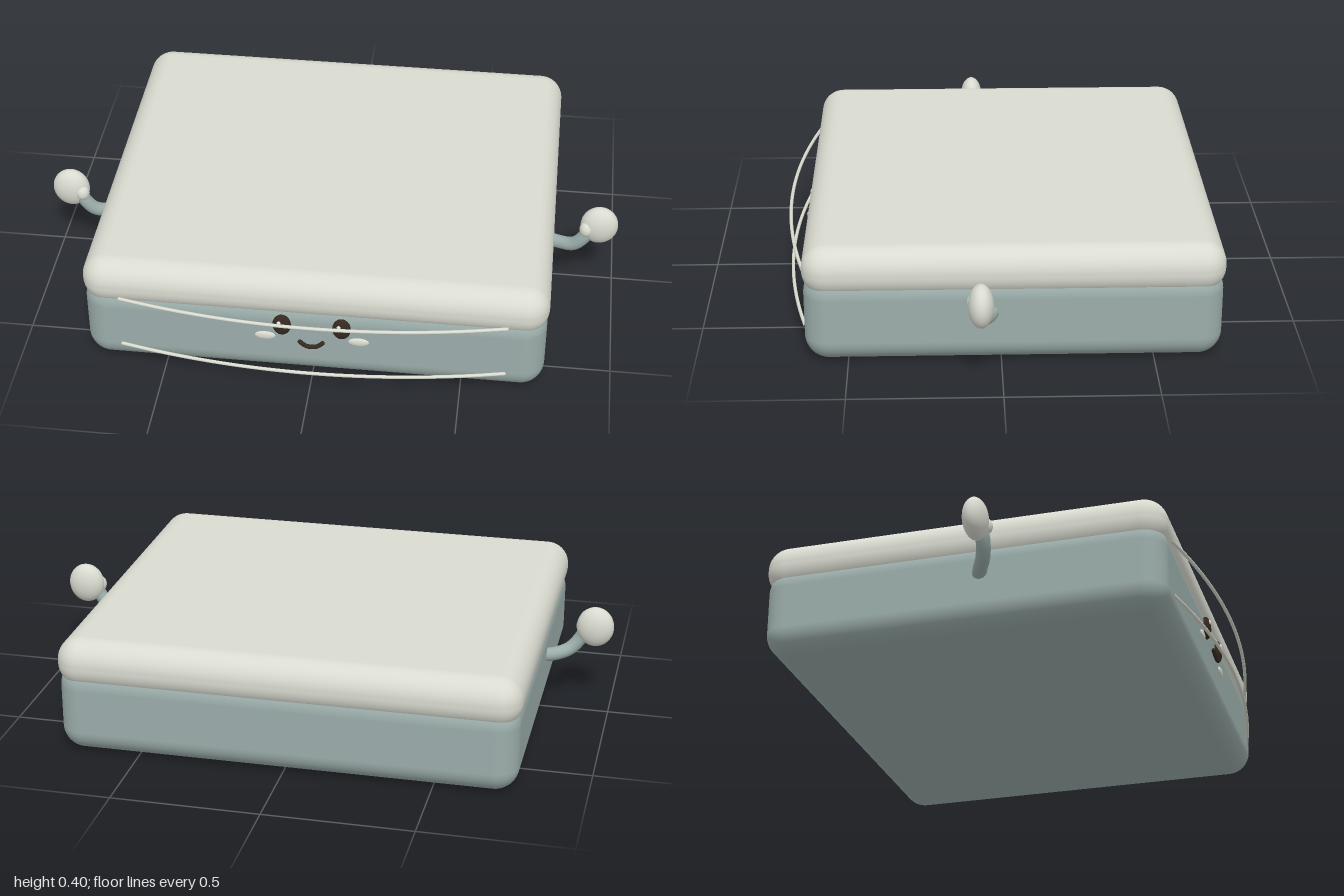
import * as THREE from 'three';
import { RoundedBoxGeometry } from 'three/addons/geometries/RoundedBoxGeometry.js';

const mat = (name, color) => {
  const m = new THREE.MeshStandardMaterial({ color });
  m.name = name;
  return m;
};

export function createModel() {
  const model = new THREE.Group();
  model.name = 'boxCharacter';
  const teal = mat('dusty teal', 0x9badaa);
  const cream = mat('pale cream', 0xd9dbd0);
  const brown = mat('dark brown', 0x352920);
  const white = mat('white', 0xffffff);

  const add = (name, geometry, material, x = 0, y = 0, z = 0) => {
    const m = new THREE.Mesh(geometry, material);
    m.name = name;
    m.position.set(x, y, z);
    model.add(m);
    return m;
  };
  const ball = (name, material, [x, y, z], [rx, ry, rz]) => {
    const m = add(name, new THREE.SphereGeometry(1, 32, 20), material, x, y, z);
    m.scale.set(rx, ry, rz);
    return m;
  };
  const tube = (name, material, points, radius) => {
    const curve = new THREE.CatmullRomCurve3(points.map(p => new THREE.Vector3(...p)));
    return add(name, new THREE.TubeGeometry(curve, 48, radius, 14), material);
  };

  // Body and overhanging lid
  add('body', new RoundedBoxGeometry(1.55, 0.31, 1.366, 8, 0.08), teal, 0, 0.155, -0.041);
  add('lid', new RoundedBoxGeometry(1.56, 0.17, 1.376, 8, 0.08), cream, 0, 0.315, -0.042);

  // Bowed trim lines across the front
  for (const y of [0.08, 0.276]) {
    const points = [];
    for (let i = -6; i <= 6; i++) {
      const x = i * 0.108;
      points.push([x, y, 0.719 - 0.18 * x * x]);
    }
    tube('frontTrim', cream, points, 0.006);
  }

  for (const s of [-1, 1]) {
    // Arm, hand and thumb
    tube('arm', teal, [
      [s * 0.75, 0.185, 0.025], [s * 0.80, 0.185, 0.045], [s * 0.85, 0.2, 0.07],
      [s * 0.885, 0.24, 0.08], [s * 0.905, 0.285, 0.075],
    ], 0.024);
    ball('hand', cream, [s * 0.935, 0.29, 0.07], [0.065, 0.072, 0.041]);
    ball('thumb', cream, [s * 0.891, 0.282, 0.089], [0.024, 0.029, 0.025]);

    // Eye, glint and cheek
    ball('eye', brown, [s * 0.1, 0.22, 0.645], [0.031, 0.041, 0.017]);
    ball('eyeGlint', white, [s * 0.1 - 0.008, 0.236, 0.66], [0.007, 0.009, 0.004]);
    ball('cheek', cream, [s * 0.157, 0.166, 0.642], [0.035, 0.017, 0.008]);
  }

  // Smile with rounded ends
  tube('smile', brown, [
    [-0.038, 0.162, 0.657], [-0.021, 0.149, 0.659], [0, 0.145, 0.66],
    [0.021, 0.149, 0.659], [0.038, 0.162, 0.657],
  ], 0.0075);
  for (const s of [-1, 1]) {
    ball('smileEnd', brown, [s * 0.038, 0.162, 0.657], [0.0075, 0.0075, 0.0075]);
  }
  return model;
}
